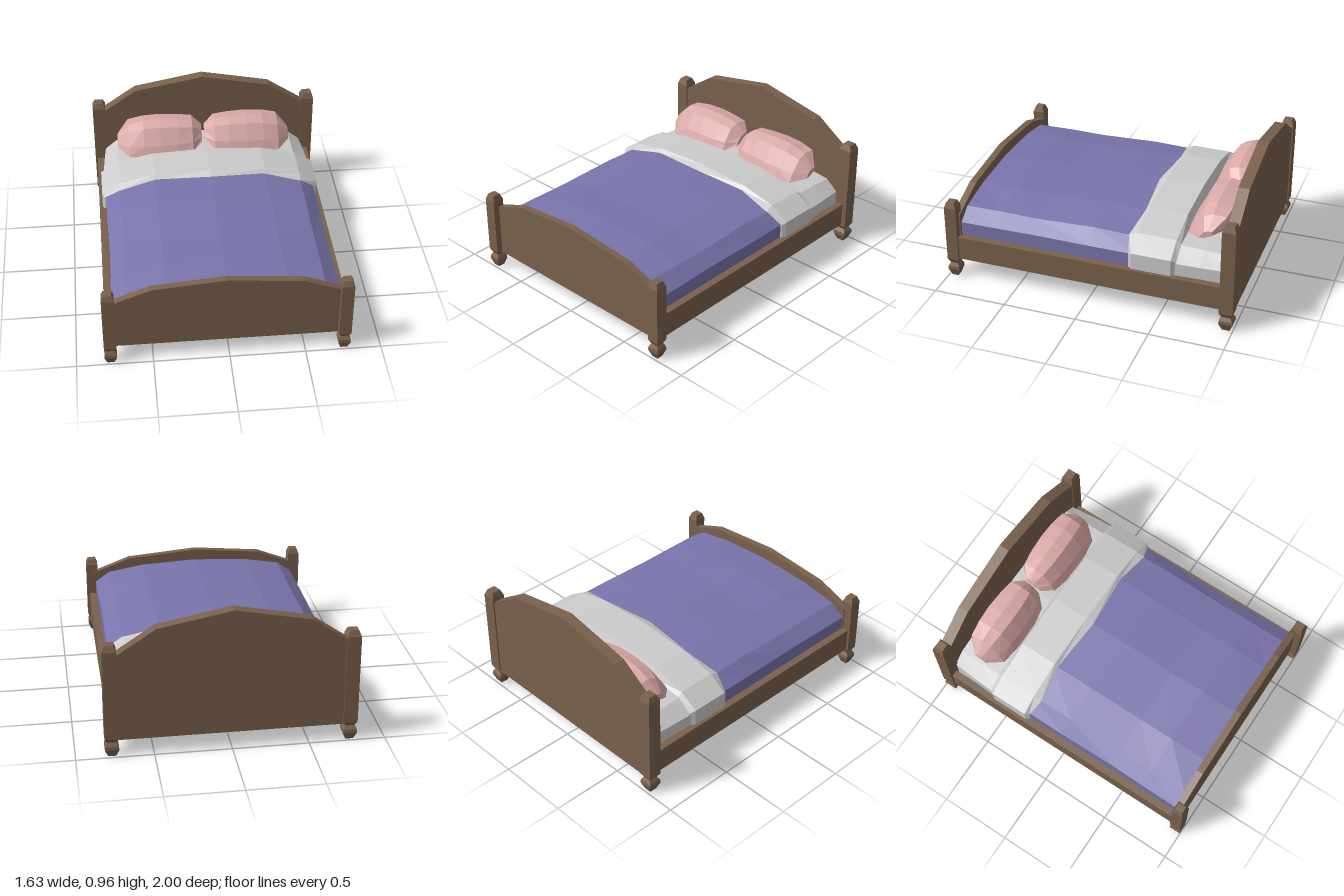
import * as THREE from 'three';

const mat = (color) => new THREE.MeshStandardMaterial({ color, flatShading: true });
const CX = -0.01; // bed centre line

// Closed solid skinned over rings of equal point count, wound to face outwards
function loft(rings) {
  const n = rings[0].length, m = rings.length, pts = rings.flat(), idx = [];
  for (let i = 0; i < m - 1; i++) {
    for (let j = 0; j < n; j++) {
      const a = i * n + j, b = i * n + (j + 1) % n;
      idx.push(a, b, b + n, a, b + n, a + n);
    }
  }
  // End caps fan out from a centre point
  [0, m - 1].forEach((r) => {
    const c = [0, 1, 2].map((k) => rings[r].reduce((s, p) => s + p[k], 0) / n);
    const ci = pts.push(c) - 1;
    for (let j = 0; j < n; j++) {
      const a = r * n + j, b = r * n + (j + 1) % n;
      if (r === 0) idx.push(ci, b, a); else idx.push(ci, a, b);
    }
  });
  const v = pts.map((p) => new THREE.Vector3(...p));
  const mid = v.reduce((s, p) => s.add(p), new THREE.Vector3()).divideScalar(v.length);
  let volume = 0;
  for (let i = 0; i < idx.length; i += 3) {
    const [a, b, c] = [0, 1, 2].map((k) => v[idx[i + k]].clone().sub(mid));
    volume += a.dot(b.cross(c));
  }
  if (volume < 0) idx.reverse();
  let g = new THREE.BufferGeometry();
  g.setAttribute('position', new THREE.Float32BufferAttribute(pts.flat(), 3));
  g.setIndex(idx);
  g = g.toNonIndexed();
  g.computeVertexNormals();
  return g;
}

// Cross-section of draped bedding at depth z; wave pushes alternate points forward
function drape(z, w, ySide, yShoulder, yTop, wave = 0) {
  const half = [[w, 0.2, 0], [w, ySide, 0], [0.64, yShoulder, wave], [0.39, yTop - 0.02, 0]];
  return [
    ...half.map(([x, y, d]) => [CX + x, y, z + d]),
    [CX, yTop, z + wave],
    ...half.slice().reverse().map(([x, y, d]) => [CX - x, y, z + d]),
  ];
}

export function createModel() {
  const bed = new THREE.Group();
  bed.name = 'bed';
  const wood = mat(0x79614c), linen = mat(0xcccccc), blanketMat = mat(0x7974ab), pillowMat = mat(0xd9a9a7);

  const add = (name, geometry, material, x = 0, y = 0, z = 0) => {
    const mesh = new THREE.Mesh(geometry, material);
    mesh.name = name;
    mesh.position.set(x, y, z);
    bed.add(mesh);
  };

  // Square posts with turned feet and chamfered tops
  const post = (name, x, z, r, height) => {
    const profile = [
      [0.55, 0], [1, 0.052], [0.95, 0.075], [0.62, 0.1], [1, 0.13],
      [1, height - 0.04], [0.65, height],
    ];
    const square = [[1, 1], [1, -1], [-1, -1], [-1, 1]];
    const rings = profile.map(([s, y]) => square.map(([a, b]) => [a * r * s, y, b * r * s]));
    add(name, loft(rings), wood, x, 0, z);
  };
  for (const s of [-1, 1]) {
    const side = s > 0 ? 'left' : 'right';
    post(side + 'FrontPost', CX + s * 0.766, 0.959, 0.041, 0.57);
    post(side + 'BackPost', s * 0.768, -0.954, 0.046, 0.775);
    // Side rails
    add(side + 'Rail', new THREE.BoxGeometry(0.05, 0.165, 1.84), wood, CX + s * 0.766, 0.223, 0);
  }

  // Arched boards at both ends
  const board = (name, outline, z, depth) => {
    const shape = new THREE.Shape(outline.map((p) => new THREE.Vector2(...p)));
    add(name, new THREE.ExtrudeGeometry(shape, { depth, bevelEnabled: false }), wood, 0, 0, z);
  };
  board('headboard', [[-0.76, 0.118], [0.76, 0.118], [0.76, 0.68], [0.72, 0.71], [0.475, 0.872],
    [-0.01, 0.965], [-0.5, 0.872], [-0.72, 0.72], [-0.76, 0.69]], -0.99, 0.075);
  board('footboard', [[-0.76, 0.118], [0.75, 0.118], [0.75, 0.467], [0.48, 0.57],
    [-0.02, 0.613], [-0.5, 0.57], [-0.76, 0.47]], 0.91, 0.047);

  // Slab under the mattress
  add('basePanel', new THREE.BoxGeometry(1.52, 0.08, 1.86), wood, CX, 0.182, -0.01);

  // Sheet-covered mattress at the head
  add('sheet', loft([
    drape(-0.914, 0.725, 0.385, 0.455, 0.505),
    drape(-0.75, 0.74, 0.39, 0.465, 0.51),
    drape(-0.5, 0.755, 0.395, 0.475, 0.51),
  ]), linen);

  // Folded-back sheet with a wavy front edge
  add('sheetFold', loft([
    drape(-0.595, 0.745, 0.4, 0.475, 0.515),
    drape(-0.565, 0.768, 0.42, 0.5, 0.577),
    drape(-0.3, 0.768, 0.42, 0.503, 0.578),
    drape(-0.275, 0.75, 0.4, 0.48, 0.555, 0.032),
  ]), linen);

  // Blanket with a slightly uneven top
  add('blanket', loft([
    drape(-0.32, 0.74, 0.4, 0.475, 0.552),
    drape(0, 0.74, 0.4, 0.485, 0.555),
    drape(0.4, 0.735, 0.4, 0.47, 0.542),
    drape(0.65, 0.74, 0.4, 0.475, 0.553),
    drape(0.912, 0.742, 0.4, 0.472, 0.535),
  ]), blanketMat);

  // Leaning pillows: side profile (z, y), narrowed to a seam at both ends
  const profile = [[-0.588, 0.5], [-0.62, 0.58], [-0.69, 0.69], [-0.77, 0.714],
    [-0.88, 0.69], [-0.905, 0.6], [-0.87, 0.55], [-0.72, 0.49]];
  const seam = new THREE.Vector2(-0.27, 0.18).normalize();
  const thick = new THREE.Vector2(seam.y, -seam.x);
  const centre = new THREE.Vector2(-0.75, 0.6);
  // From the outer end: x offset, scale along the seam, scale through the thickness, lift
  const stations = [[-0.31, 0.3, 0.2, -0.035], [-0.23, 0.86, 0.66, -0.008], [-0.12, 0.96, 0.92, 0],
    [0, 1, 1, 0], [0.13, 0.95, 0.95, 0], [0.235, 0.84, 0.75, 0.005], [0.305, 0.4, 0.2, 0]];
  const pillowRings = stations.map(([x, su, sv, lift]) => profile.map((p) => {
    const d = new THREE.Vector2(...p).sub(centre);
    const q = centre.clone().addScaledVector(seam, d.dot(seam) * su)
      .addScaledVector(thick, d.dot(thick) * sv);
    return [x, q.y + lift, q.x];
  }));
  add('rightPillow', loft(pillowRings), pillowMat, -0.335);
  add('leftPillow', loft(pillowRings.map((r) => r.map(([x, y, z]) => [-x, y, z]))), pillowMat, 0.295);

  return bed;
}
